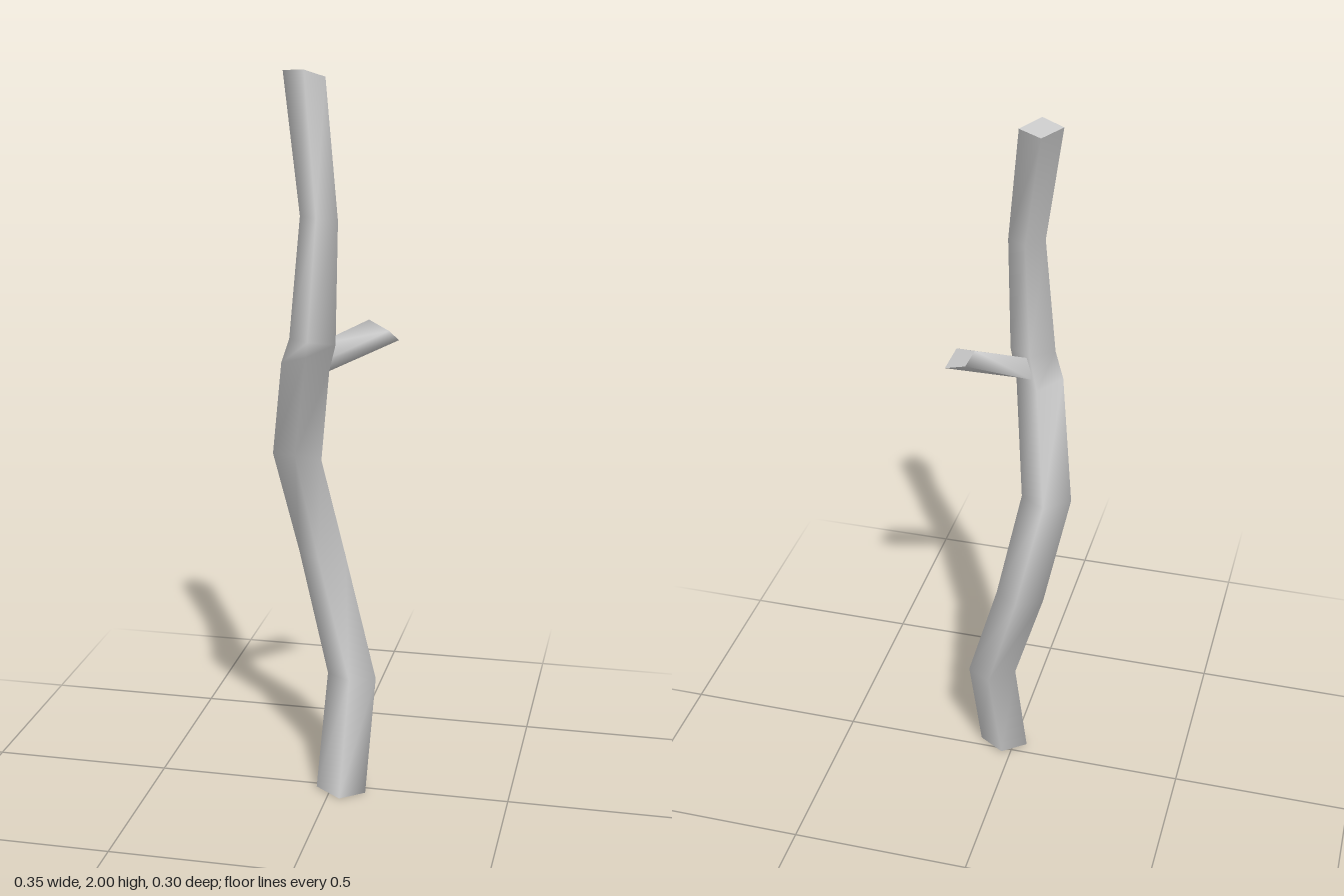
import * as THREE from 'three';

const material = new THREE.MeshStandardMaterial({ color: 0xcccccc });

// Skin with smooth sides through four-cornered rings, closed by flat end caps.
// Corners run counter-clockwise when seen from the last ring's end.
function limb(name, rings) {
  const group = new THREE.Group();
  group.name = name;
  const add = (part, points, index) => {
    const geometry = new THREE.BufferGeometry();
    geometry.setAttribute('position', new THREE.Float32BufferAttribute(points.flat(), 3));
    geometry.setIndex(index);
    geometry.computeVertexNormals();
    const mesh = new THREE.Mesh(geometry, material);
    mesh.name = part;
    group.add(mesh);
  };
  const index = [];
  for (let i = 0; i < rings.length - 1; i++) {
    for (let j = 0; j < 4; j++) {
      const a = i * 4 + j, b = i * 4 + (j + 1) % 4;
      index.push(a, b, b + 4, a, b + 4, a + 4);
    }
  }
  add(name + 'Bark', rings.flat(), index);
  add(name + 'StartCap', rings[0], [0, 2, 1, 0, 3, 2]);
  add(name + 'EndCap', rings[rings.length - 1], [0, 1, 2, 0, 2, 3]);
  return group;
}

export function createModel() {
  const model = new THREE.Group();
  model.name = 'branch';

  // Crooked trunk: each ring lists its left, front, right and back corners
  model.add(limb('trunk', [
    [[-0.04, 0.005, 0.03], [0.035, 0, 0.08], [0.1, 0, 0.03], [0.025, 0.005, -0.02]],
    [[-0.02, 0.33, -0.03], [0.05, 0.33, 0.015], [0.115, 0.32, -0.04], [0.045, 0.325, -0.085]],
    [[-0.118, 0.66, -0.105], [-0.052, 0.655, -0.055], [0.015, 0.66, -0.1], [-0.05, 0.66, -0.152]],
    [[-0.177, 0.96, -0.045], [-0.105, 0.97, 0], [-0.04, 0.95, -0.04], [-0.11, 0.95, -0.088]],
    [[-0.118, 1.25, 0.093], [-0.04, 1.28, 0.15], [0.012, 1.235, 0.1], [-0.055, 1.22, 0.058]],
    [[-0.092, 1.32, 0.11], [-0.035, 1.32, 0.15], [0.032, 1.31, 0.115], [-0.03, 1.31, 0.077]],
    [[-0.062, 1.64, 0.11], [-0.012, 1.64, 0.147], [0.037, 1.63, 0.11], [-0.015, 1.63, 0.083]],
    [[-0.132, 1.995, -0.005], [-0.068, 2, 0.034], [-0.02, 1.98, -0.005], [-0.085, 1.978, -0.045]],
  ]));

  // Short side twig, rooted inside the trunk
  model.add(limb('twig', [
    [[-0.03, 1.3, 0.09], [0.01, 1.27, 0.112], [0.005, 1.232, 0.098], [-0.04, 1.25, 0.065]],
    [[0.097, 1.355, -0.003], [0.157, 1.335, 0.033], [0.175, 1.3, -0.017], [0.112, 1.328, -0.042]],
  ]));

  return model;
}
